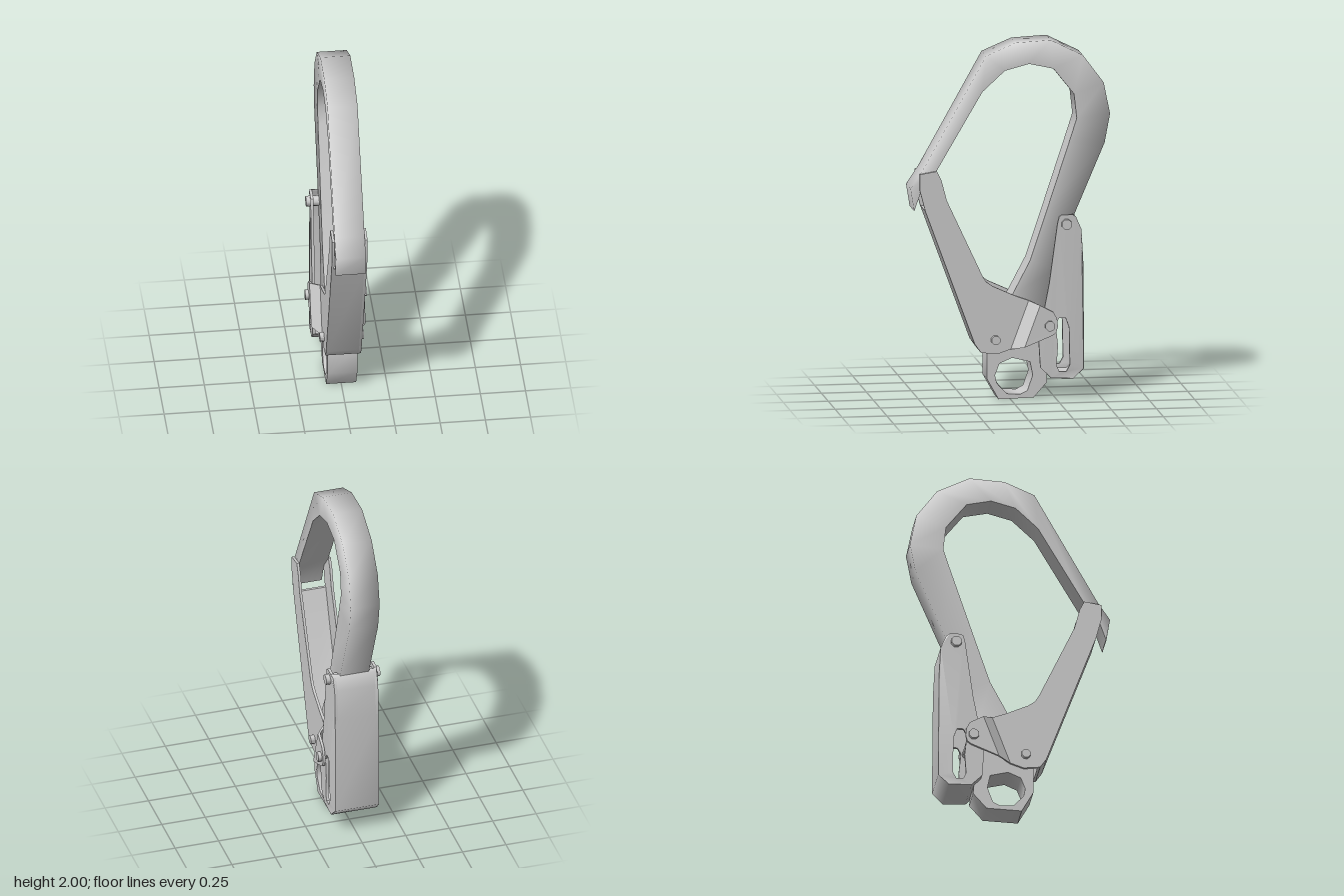
import * as THREE from 'three';
import { toCreasedNormals } from 'three/addons/utils/BufferGeometryUtils.js';

const grey = new THREE.MeshStandardMaterial({ color: 0xcccccc, side: THREE.DoubleSide });

// Extrudes a [z, y] outline from x0 to x0 + t; shift(z, y) then slides vertices along x
function plate(name, outline, x0, t, { hole, shift, crease = 0.5 } = {}) {
  const toV = ([z, y]) => new THREE.Vector2(z, y);
  const shape = new THREE.Shape(outline.map(toV));
  if (hole) shape.holes.push(new THREE.Path(hole.map(toV)));
  const geo = new THREE.ExtrudeGeometry(shape, { depth: t, bevelEnabled: false });
  geo.rotateY(-Math.PI / 2).translate(x0 + t, 0, 0);
  if (shift) {
    const p = geo.attributes.position;
    for (let i = 0; i < p.count; i++) p.setX(i, p.getX(i) + shift(p.getZ(i), p.getY(i)));
  }
  const mesh = new THREE.Mesh(toCreasedNormals(geo, crease), grey);
  mesh.name = name;
  return mesh;
}

// Lofts a bar through [outerZ, outerY, innerZ, innerY] stations, soft outside and sharp inside
function bar(name, stations, w) {
  const pos = [], index = [];
  stations.forEach(([oz, oy, iz, iy], s) => {
    pos.push(-w, iy, iz, -w, oy, oz, w, oy, oz, w, iy, iz, w, iy, iz, -w, iy, iz);
    if (s === 0) return;
    for (const j of [0, 1, 2, 4]) {
      const a = (s - 1) * 6 + j, d = s * 6 + j;
      index.push(a, a + 1, d + 1, a, d + 1, d);
    }
  });
  const geo = new THREE.BufferGeometry();
  geo.setAttribute('position', new THREE.Float32BufferAttribute(pos, 3));
  geo.setIndex(index);
  geo.computeVertexNormals();
  const mesh = new THREE.Mesh(geo, grey);
  mesh.name = name;
  return mesh;
}

function pin(name, z, y, r, halfLength) {
  const geo = new THREE.CylinderGeometry(r, r, halfLength * 2, 8).rotateZ(Math.PI / 2);
  const mesh = new THREE.Mesh(toCreasedNormals(geo.rotateX(Math.PI / 8), 0.9), grey);
  mesh.name = name;
  mesh.position.set(0, y, z);
  return mesh;
}

export function createModel() {
  const model = new THREE.Group();

  // Hook, from the nose over the top and down the back
  model.add(bar('hookBody', [
    [0.535, 1.065, 0.533, 1.067], [0.555, 1.19, 0.49, 1.19], [0.49, 1.285, 0.41, 1.285],
    [0.135, 1.92, 0.155, 1.72], [-0.03, 1.99, 0.03, 1.835], [-0.225, 2.0, -0.105, 1.87],
    [-0.405, 1.91, -0.24, 1.84], [-0.52, 1.755, -0.355, 1.695], [-0.555, 1.58, -0.37, 1.56],
    [-0.525, 1.42, -0.34, 1.465], [-0.355, 1.02, -0.21, 1.07], [-0.25, 0.72, -0.11, 0.77],
    [-0.2, 0.45, -0.01, 0.58]], 0.083));

  // Base with the attachment eye
  model.add(plate('eyeBase', [
    [-0.01, 0.58], [-0.2, 0.45], [-0.19, 0.25], [-0.205, 0.09], [-0.13, 0.005], [0.065, 0],
    [0.13, 0.115], [0.13, 0.27], [0.1, 0.4]], -0.083, 0.166, {
    crease: 0.9,
    hole: [[-0.01, 0.23], [0.06, 0.2], [0.085, 0.135], [0.075, 0.09], [0.02, 0.03],
      [-0.055, 0.025], [-0.095, 0.045], [-0.125, 0.13], [-0.11, 0.205]] }));

  // Gate: side plates whose rear ears bend outwards around the lock
  const gate = new THREE.Group();
  gate.name = 'gate';
  const A = [[-0.1, 0.55], [0, 0.28]], B = [[-0.156, 0.53], [-0.07, 0.297]];
  const bend = (z, y) => 0.053 * THREE.MathUtils.clamp((-0.938 * z - 0.347 * y + 0.097) / 0.06, 0, 1);
  const pieces = {
    gateSide: [[0.505, 1.27], [0.41, 1.285], [0.385, 1.235], [0.355, 1.12], [0.155, 0.69],
      [0.135, 0.66], [0.1, 0.635], [-0.02, 0.58], A[0], A[1], [0.075, 0.255], [0.165, 0.265],
      [0.2, 0.315], [0.475, 1.065], [0.505, 1.18]],
    gateBend: [A[0], B[0], B[1], A[1]],
    gateEar: [B[0], [-0.23, 0.49], [-0.25, 0.455], [-0.255, 0.41], [-0.245, 0.375],
      [-0.225, 0.36], B[1]],
  };
  for (const s of [1, -1]) {
    for (const [name, outline] of Object.entries(pieces)) {
      gate.add(plate(name, outline, s > 0 ? 0.084 : -0.098, 0.014,
        { shift: (z, y) => s * bend(z, y) }));
    }
  }
  // Front wall closing the channel
  gate.add(plate('gateFront', [
    [0.475, 1.065], [0.2, 0.315], [0.165, 0.265], [0.15, 0.264], [0.155, 0.28], [0.185, 0.32],
    [0.46, 1.065]], -0.097, 0.194));
  model.add(gate);

  // Lock lever: slotted sides narrowing towards a soft-edged back wall
  const lock = new THREE.Group();
  lock.name = 'lockLever';
  const side = [
    [-0.265, 1.02], [-0.28, 1.03], [-0.34, 1.03], [-0.36, 1.015], [-0.39, 0.945], [-0.4, 0.76],
    [-0.402, 0.17], [-0.345, 0.115], [-0.22, 0.12], [-0.16, 0.18], [-0.15, 0.34], [-0.21, 0.65],
    [-0.225, 0.76], [-0.255, 0.98]];
  const slot = [
    [-0.265, 0.455], [-0.3, 0.455], [-0.32, 0.4], [-0.324, 0.19], [-0.305, 0.155],
    [-0.265, 0.155], [-0.25, 0.19], [-0.258, 0.3], [-0.245, 0.42]];
  for (const s of [1, -1]) {
    lock.add(plate('lockSide', side, s > 0 ? 0.117 : -0.133, 0.016,
      { hole: slot, shift: (z) => (z < -0.35 ? -0.008 * s : 0) }));
  }
  lock.add(bar('lockBack', [
    [-0.345, 1.028, -0.344, 1.027], [-0.36, 1.015, -0.345, 1.01], [-0.39, 0.945, -0.375, 0.94],
    [-0.4, 0.76, -0.385, 0.76], [-0.405, 0.17, -0.388, 0.18], [-0.345, 0.113, -0.34, 0.13],
    [-0.22, 0.118, -0.225, 0.135], [-0.162, 0.18, -0.163, 0.181]], 0.125));
  model.add(lock);

  // Pivot pins
  model.add(pin('gatePin', 0.085, 0.335, 0.026, 0.122));
  model.add(pin('earPin', -0.21, 0.415, 0.029, 0.17));
  model.add(pin('lockPin', -0.305, 0.978, 0.03, 0.155));
  return model;
}
